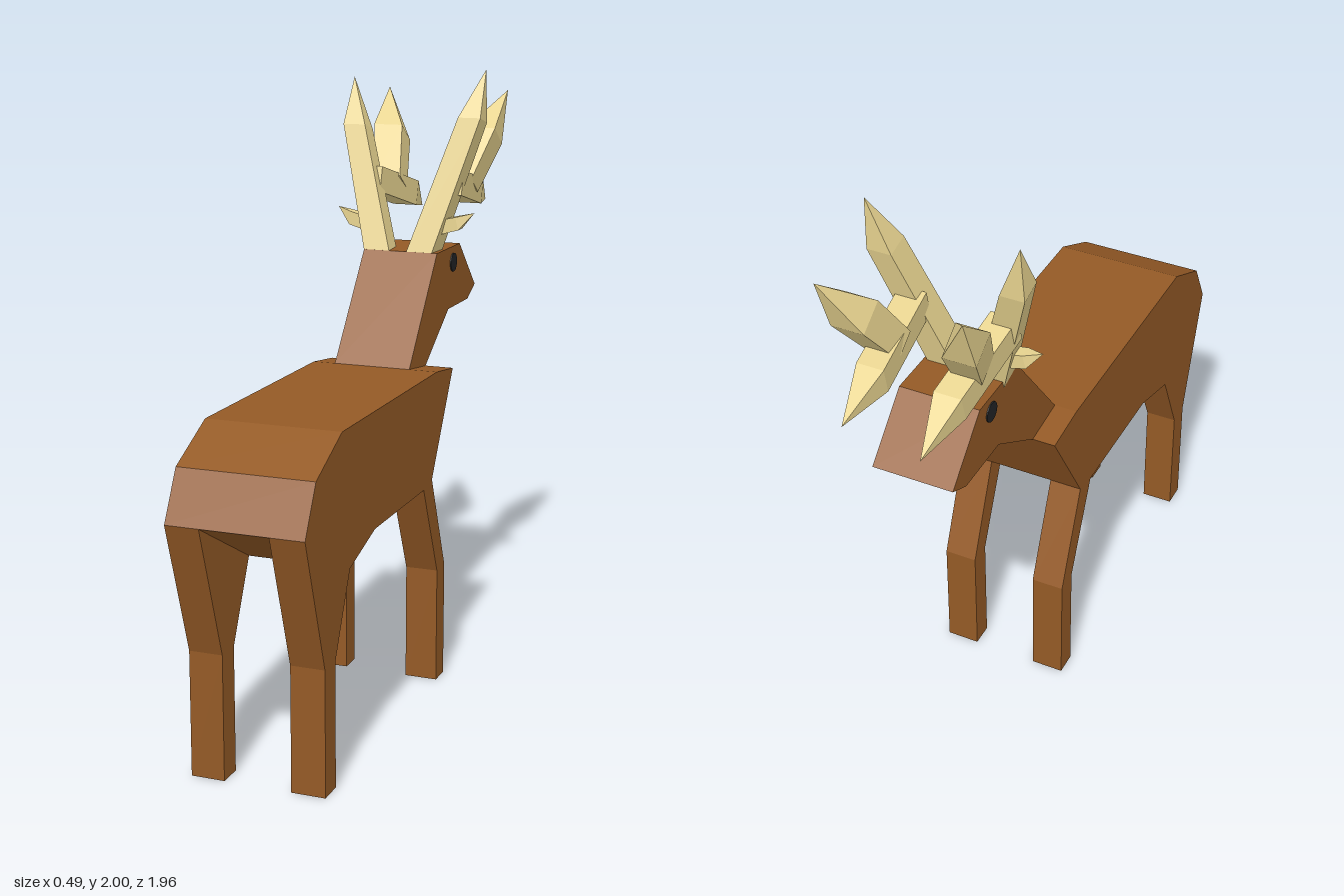
import * as THREE from 'three';

const paint = (color) => new THREE.MeshStandardMaterial({ color, flatShading: true });

// Side profile of [z, y] points, extruded across x from x0 to x1
function slab(name, points, x0, x1, material) {
  const shape = new THREE.Shape(points.map(([z, y]) => new THREE.Vector2(z, y)));
  const geometry = new THREE.ExtrudeGeometry(shape, { depth: x1 - x0, bevelEnabled: false });
  geometry.rotateY(-Math.PI / 2).translate(x1, 0, 0);
  const mesh = new THREE.Mesh(geometry, material);
  mesh.name = name;
  return mesh;
}

// Four-sided tine: square base, square shoulder, then a point
function tine(name, base, shoulder, tip, across, r0, r1, material) {
  const [a, b, c] = [base, shoulder, tip].map((p) => new THREE.Vector3(...p));
  const u = new THREE.Vector3(...across);
  const v = new THREE.Vector3().subVectors(b, a).cross(u).normalize();
  const ring = (p, r) => [[1, 1], [-1, 1], [-1, -1], [1, -1]].map(([i, j]) =>
    p.clone().addScaledVector(u, i * r).addScaledVector(v, j * r));
  const lower = ring(a, r0), upper = ring(b, r1), corners = [];
  for (let i = 0; i < 4; i++) {
    const k = (i + 1) % 4;
    corners.push(lower[i], lower[k], upper[k], lower[i], upper[k], upper[i], upper[i], upper[k], c);
  }
  corners.push(lower[0], lower[2], lower[1], lower[0], lower[3], lower[2]);
  const geometry = new THREE.BufferGeometry().setFromPoints(corners);
  geometry.computeVertexNormals();
  const mesh = new THREE.Mesh(geometry, material);
  mesh.name = name;
  return mesh;
}

export function createModel() {
  const model = new THREE.Group();
  model.name = 'deer';
  const fur = paint(0x945a26), horn = paint(0xe8d490), black = paint(0x222426);
  horn.side = THREE.DoubleSide;

  // Torso and head
  model.add(slab('torso', [
    [0.98, 0.82], [0.9, 0.97], [0.705, 1.065], [-0.12, 1.065], [-0.28, 1.045],
    [-0.08, 0.715], [0, 0.7], [0.44, 0.7], [0.645, 0.64],
  ], -0.195, 0.235, fur));
  model.add(slab('neckAndHead', [
    [-0.12, 1.065], [-0.385, 1.405], [-0.625, 1.405], [-0.8, 1.235],
    [-0.72, 1.195], [-0.51, 1.195], [-0.28, 1.045],
  ], -0.12, 0.14, fur));

  // Legs, flush with the flanks
  const hind = [[0.98, 0.82], [0.645, 0.64], [0.76, 0.395], [0.76, 0], [0.84, 0], [0.84, 0.395]];
  const fore = [[0, 0.7], [-0.08, 0.715], [-0.215, 0.385], [-0.215, 0], [-0.14, 0], [-0.14, 0.385]];
  for (const [side, x0, x1] of [['Left', 0.127, 0.235], ['Right', -0.195, -0.088]]) {
    model.add(slab('hindLeg' + side, hind, x0, x1, fur));
    model.add(slab('foreLeg' + side, fore, x0, x1, fur));
  }

  // Eyes
  for (const [side, x] of [['Left', 0.14], ['Right', -0.12]]) {
    const eye = new THREE.Mesh(new THREE.CylinderGeometry(0.032, 0.032, 0.008, 20), black);
    eye.name = 'eye' + side;
    eye.rotation.z = Math.PI / 2;
    eye.position.set(x, 1.35, -0.555);
    model.add(eye);
  }

  // Antlers: main beam, forward tine, upper tine and a small outer spur
  for (const [side, s, drop] of [['Left', 1, 0], ['Right', -1, 0.035]]) {
    const antler = new THREE.Group();
    antler.name = 'antler' + side;
    const X = [1, 0, 0], Z = [0, 0, 1];
    antler.add(
      tine('beam', [s * 0.075, 1.39, -0.428], [s * 0.205, 1.835 - drop, -0.548],
        [s * 0.236, 2 - drop, -0.595], X, 0.045, 0.039, horn),
      tine('forwardTine', [s * 0.145, 1.63, -0.5], [s * 0.12, 1.565 - drop * 0.5, -0.8],
        [s * 0.12, 1.515 - drop, -0.975], X, 0.043, 0.043, horn),
      tine('upperTine', [s * 0.13, 1.6, -0.675], [s * 0.17, 1.76, -0.79],
        [s * 0.22, 1.91, -0.9], X, 0.045, 0.052, horn),
      tine('spur', [s * 0.09, 1.475, -0.455], [s * 0.19, 1.5, -0.46],
        [s * 0.243, 1.535, -0.465], Z, 0.025, 0.022, horn),
    );
    model.add(antler);
  }
  return model;
}
